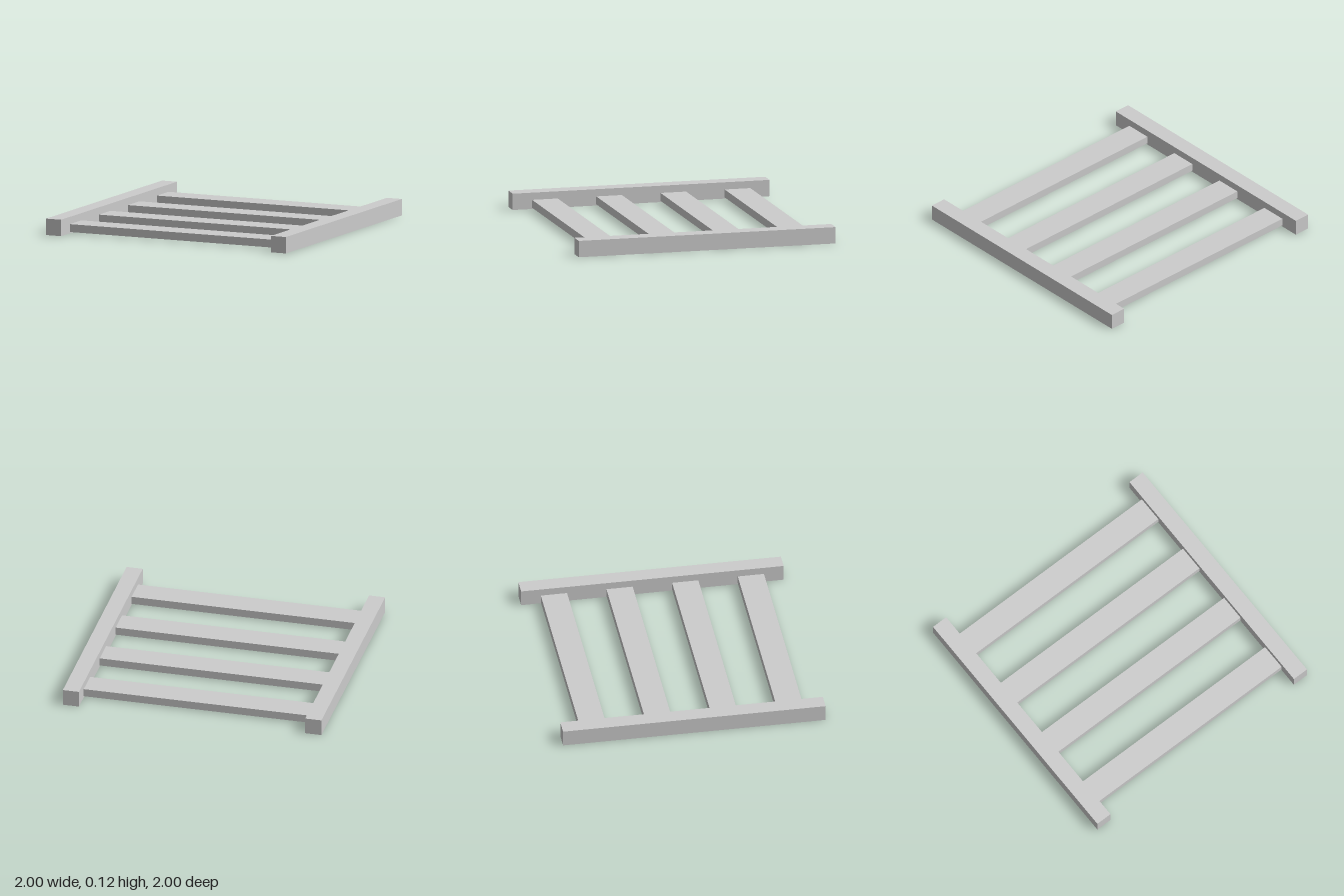
import * as THREE from 'three';

const RAIL = 0.125; // square section of the side rails
const SLAT_BOTTOM = 0.01, SLAT_TOP = 0.07, SLAT_DEPTH = 0.2;

export function createModel() {
  const model = new THREE.Group();
  model.name = 'slattedFrame';
  const material = new THREE.MeshStandardMaterial({ color: 0xcccccc });

  const addBox = (name, [w, h, d], [x, y, z]) => {
    const mesh = new THREE.Mesh(new THREE.BoxGeometry(w, h, d), material);
    mesh.name = name;
    mesh.position.set(x, y, z);
    model.add(mesh);
  };

  // Side rails
  for (const [name, side] of [['leftRail', 1], ['rightRail', -1]]) {
    addBox(name, [RAIL, RAIL, 2], [side * (1 - RAIL / 2), RAIL / 2, 0]);
  }

  // Four evenly spaced slats between the rails
  for (let i = 0; i < 4; i++) {
    addBox(`slat${i + 1}`, [2 - 2 * RAIL, SLAT_TOP - SLAT_BOTTOM, SLAT_DEPTH],
      [0, (SLAT_TOP + SLAT_BOTTOM) / 2, -0.75 + i * 0.5]);
  }

  return model;
}
